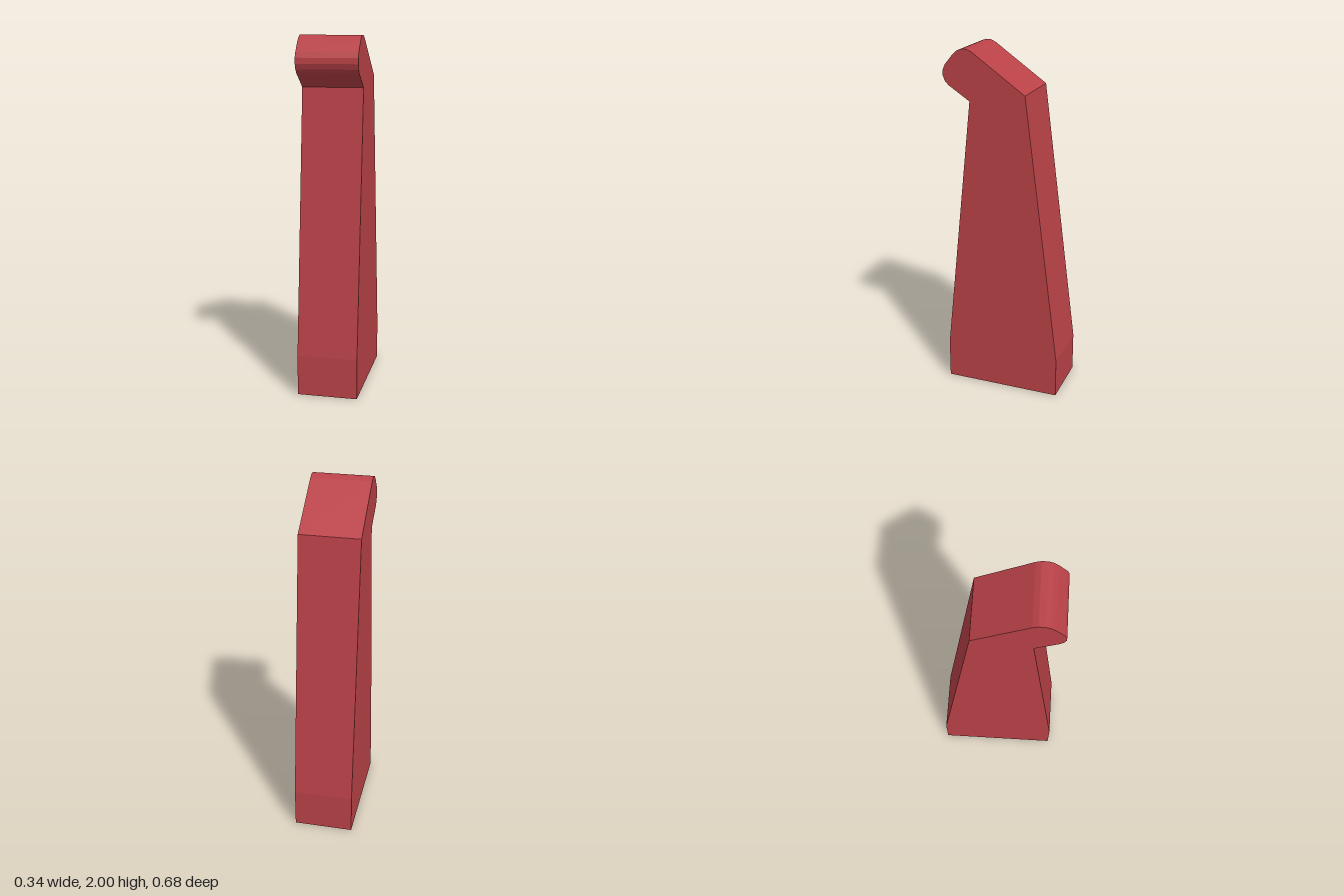
import * as THREE from 'three';

export function createModel() {
  const group = new THREE.Group();
  const red = new THREE.MeshStandardMaterial({ color: 0xba4248 });
  red.name = 'red';

  const width = 0.34;
  const radius = 0.08;
  const deg = Math.PI / 180;

  // Side profile: x is depth (front positive), y is height
  const profile = new THREE.Shape();
  profile.moveTo(-0.338, 0);
  profile.lineTo(0.338, 0);
  profile.lineTo(0.338, 0.23);
  profile.lineTo(0.18, 1.72);
  // Rounded nose overhanging the front
  profile.absarc(0.255, 1.864, radius, -55 * deg, 35 * deg, false);
  profile.absarc(0.209, 1.92, radius, 35 * deg, 125 * deg, false);
  // Sloping top and tapered back
  profile.lineTo(-0.138, 1.775);
  profile.lineTo(-0.338, 0.23);
  profile.closePath();

  const geometry = new THREE.ExtrudeGeometry(profile, {
    depth: width, bevelEnabled: false, curveSegments: 2,
  });
  geometry.translate(0, 0, -width / 2);
  geometry.rotateY(-Math.PI / 2);

  const post = new THREE.Mesh(geometry, red);
  post.name = 'hookedPost';
  group.add(post);
  return group;
}
